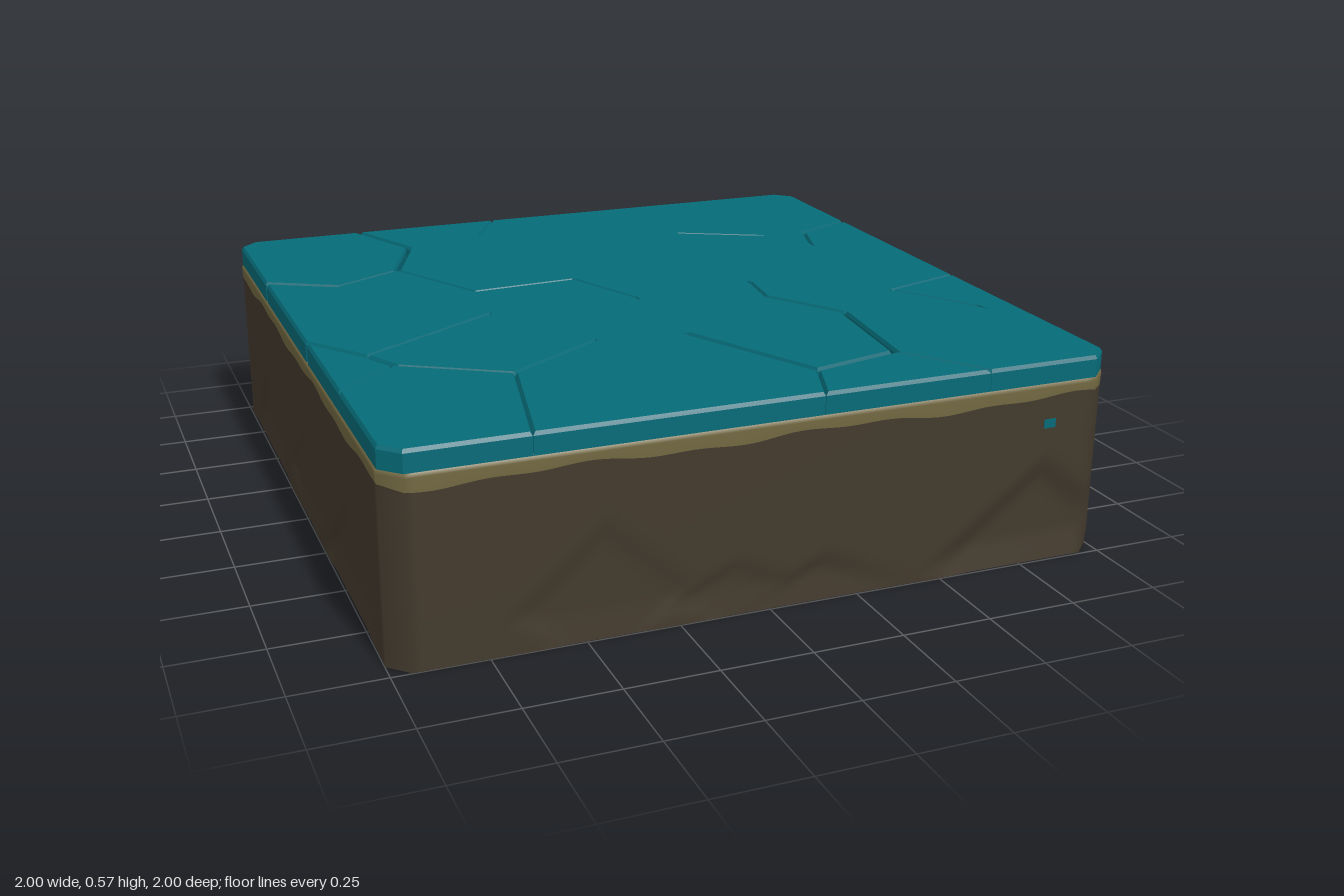
import * as THREE from 'three';

const mat = (name, color, opts = {}) => {
  const m = new THREE.MeshStandardMaterial({ color, side: THREE.DoubleSide, ...opts });
  m.name = name;
  return m;
};

// Corner points of the paving stones, as x, z (R is the outer edge)
const R = .996;
const P = {
  1: [-R, -.945], 2: [-.945, -R], 3: [.945, -R], 4: [R, -.945],
  5: [R, .945], 6: [.945, R], 7: [-.945, R], 8: [-R, .945],
  a: [-.6, -R], b: [-.49, -.74], c: [-.59, -.49], d: [-.8, -.38], e: [-R, -.49],
  f: [-.43, -.18], g: [-.11, -.2], h: [-.45, .05], i: [-.87, .3], j: [-R, .13],
  k: [-.82, .4], l: [-R, .55], m: [-.54, .57], n: [-.63, R], o: [-.25, .39],
  p: [0, .42], q: [.2, .83], r: [.14, R], s: [.46, .77], t: [.62, R],
  u: [.5, .4], v: [.36, .18], w: [.38, .02], x: [.74, .25], y: [R, .17], z: [R, .8],
  A: [R, -.55], B: [.8, -.46], C: [.75, -.3], D: [-.13, -R], E: [-.24, -.8],
  F: [0, .06], G: [.27, -.17], H: [.4, -.6], I: [.65, -.47], J: [.9, .5],
  K: [-.2, -.45], M: [.45, -R],
};
const CELLS = ['12abcde', 'aDEKcb', 'DMHGgKE', 'M34ABIH', 'AyxCB', 'HIBCxwG', 'wxuv', 'cKgf',
  'gGwvupF', 'pusq', 'fgFpoh', 'edcfhij', 'jikl', 'ihomk', 'lkmn78', 'mopqrn', 'qstr',
  'uxJz56ts', 'xyzJ'];
const OPEN = 'ab bc de ij ik pq qs su uv AB'.split(' ');
const TIGHT = 'cd cf fg hi kl km mn mo Fg vw ux xy st qr DE Jx BC HI'.split(' ');
const BORDER = '12345678aejlnrtzyADM';

const hasEdge = (set, p, q) => set.includes(p + q) || set.includes(q + p);
function edgeKind(p, q) {
  if (BORDER.includes(p) && BORDER.includes(q)) return 'border';
  if (hasEdge(OPEN, p, q)) return 'open';
  return hasEdge(TIGHT, p, q) ? 'tight' : 'joined';
}

// Moves every edge of a counter-clockwise outline inwards by its own distance
function inset(pts, dist) {
  const n = pts.length;
  const normal = (i) => {
    const a = pts[i], b = pts[(i + 1) % n];
    return new THREE.Vector2(a.y - b.y, b.x - a.x).normalize();
  };
  return pts.map((p, i) => {
    const h = (i + n - 1) % n, n0 = normal(h), n1 = normal(i);
    const det = n0.x * n1.y - n0.y * n1.x;
    if (Math.abs(det) < 0.25) return p.clone().addScaledVector(n0, dist[h] / 2).addScaledVector(n1, dist[i] / 2);
    return new THREE.Vector2(
      p.x + (dist[h] * n1.y - dist[i] * n0.y) / det,
      p.y + (n0.x * dist[i] - n1.x * dist[h]) / det);
  });
}

// One stone: bevelled top and upright sides, open below
function stoneGeometry(cell) {
  const names = [...cell];
  const flat = () => names.map((k) => new THREE.Vector2(P[k][0], -P[k][1]));
  if (THREE.ShapeUtils.area(flat()) < 0) names.reverse();
  const n = names.length;
  const kinds = names.map((k, i) => edgeKind(k, names[(i + 1) % n]));
  const by = (table) => kinds.map((k) => table[k]);
  const outer = inset(flat(), by({ border: 0, open: .007, tight: .0006, joined: 0 }));
  const top = inset(outer, by({ border: .006, open: .005, tight: .006, joined: 0 }));
  const rings = [[outer, .514], [outer, .565], [top, .575]];
  const pos = [], idx = [];
  for (const [ring, y] of rings) for (const p of ring) pos.push(p.x, y, -p.y);
  for (let r = 0; r < 2; r++) for (let i = 0; i < n; i++) {
    const a = r * n + i, b = r * n + (i + 1) % n;
    idx.push(a, b, b + n, a, b + n, a + n);
  }
  for (const [a, b, c] of THREE.ShapeUtils.triangulateShape(top, [])) idx.push(2 * n + a, 2 * n + b, 2 * n + c);
  const g = new THREE.BufferGeometry();
  g.setAttribute('position', new THREE.Float32BufferAttribute(pos, 3));
  g.setIndex(idx);
  return g;
}

// Ring around the square: shape(side, u, row) returns [half width, y]
function ringGeometry(rows, steps, shape) {
  const pos = [], idx = [], cols = 4 * (steps + 1);
  for (let r = 0; r <= rows; r++) for (let s = 0; s < 4; s++) for (let i = 0; i <= steps; i++) {
    const u = -.945 + 1.89 * i / steps, a = s * Math.PI / 2;
    const [d, y] = shape(s, u, r);
    pos.push(Math.sin(a) * d + Math.cos(a) * u, y, Math.cos(a) * d - Math.sin(a) * u);
  }
  for (let r = 0; r < rows; r++) for (let i = 0; i < cols; i++) {
    const a = r * cols + i, b = r * cols + (i + 1) % cols;
    idx.push(a, b, b + cols, a, b + cols, a + cols);
  }
  const g = new THREE.BufferGeometry();
  g.setAttribute('position', new THREE.Float32BufferAttribute(pos, 3));
  g.setIndex(idx);
  g.computeVertexNormals();
  return g;
}

// Chipped hollows per side (front, right, back, left): u, y, radius u, radius y, depth
const CHIPS = [
  [[.8, .04, .26, .2, .018], [-.45, .1, .19, .17, .008], [.15, 0, .22, .1, .01], [-.1, .06, .15, .07, .008]],
  [[-.25, .05, .26, .2, .016], [.35, .1, .22, .12, .008], [.7, .08, .14, .16, .01], [-.75, 0, .2, .1, .01]],
  [[-.6, .05, .22, .18, .012], [.1, .08, .2, .15, .01], [.65, 0, .25, .2, .014]],
  [[-.6, 0, .25, .2, .014], [0, .1, .2, .13, .008], [.55, .04, .24, .18, .012]],
];
function chipDepth(side, u, y) {
  let depth = 0;
  for (const [cu, cy, ru, ry, d] of CHIPS[side]) {
    const k = 1 - Math.abs(u - cu) / ru * .75 - Math.abs(y - cy) / ry * .75;
    depth = Math.max(depth, d * Math.min(1, 4 * Math.max(0, k)));
  }
  return depth * Math.min(1, .3 + y * 9);
}

// Uneven line where the earth meets the rim
const seamY = (s, u) => .474 + .006 * Math.sin(u * 9 + s * 2) + .004 * Math.sin(u * 23 + s);

export function createModel() {
  const model = new THREE.Group();
  model.name = 'pavedTile';
  const teal = mat('teal stone', 0x056b78, { flatShading: true });
  const tan = mat('tan rim', 0x736942);
  const brown = mat('brown earth', 0x433a2d);
  const add = (name, geometry, material, parent = model) => {
    const mesh = new THREE.Mesh(geometry, material);
    mesh.name = name;
    parent.add(mesh);
  };

  // Hollow earth wall, open below
  add('earthWall', ringGeometry(24, 80, (s, u, r) => {
    const y = seamY(s, u) * r / 24;
    return [.998 - chipDepth(s, u, y), y];
  }), brown);

  // Rim with an uneven lower edge, turned in under the stones
  const rim = [.998, 1, .998, .988];
  const rimY = [0, .504, .514, .518];
  add('rim', ringGeometry(3, 80, (s, u, r) => [rim[r], r ? rimY[r] : seamY(s, u)]), tan);

  // Cracked paving
  const paving = new THREE.Group();
  paving.name = 'paving';
  model.add(paving);
  CELLS.forEach((cell, i) => add(`stone${i + 1}`, stoneGeometry(cell), teal, paving));

  // Small fragments stuck in the walls
  const chip = (name, w, h, d, x, y, z, material) => {
    const g = new THREE.BoxGeometry(w, h, d);
    g.translate(x, y, z);
    add(name, g, material);
  };
  chip('frontFragment', .035, .025, .006, .81, .402, .997, teal);
  chip('sideFragment', .006, .03, .045, .997, .363, .12, teal);
  chip('sideFleck', .006, .015, .02, .997, .36, .155, tan);
  chip('earthSliver', .006, .025, .16, .997, .52, .235, brown);
  return model;
}
